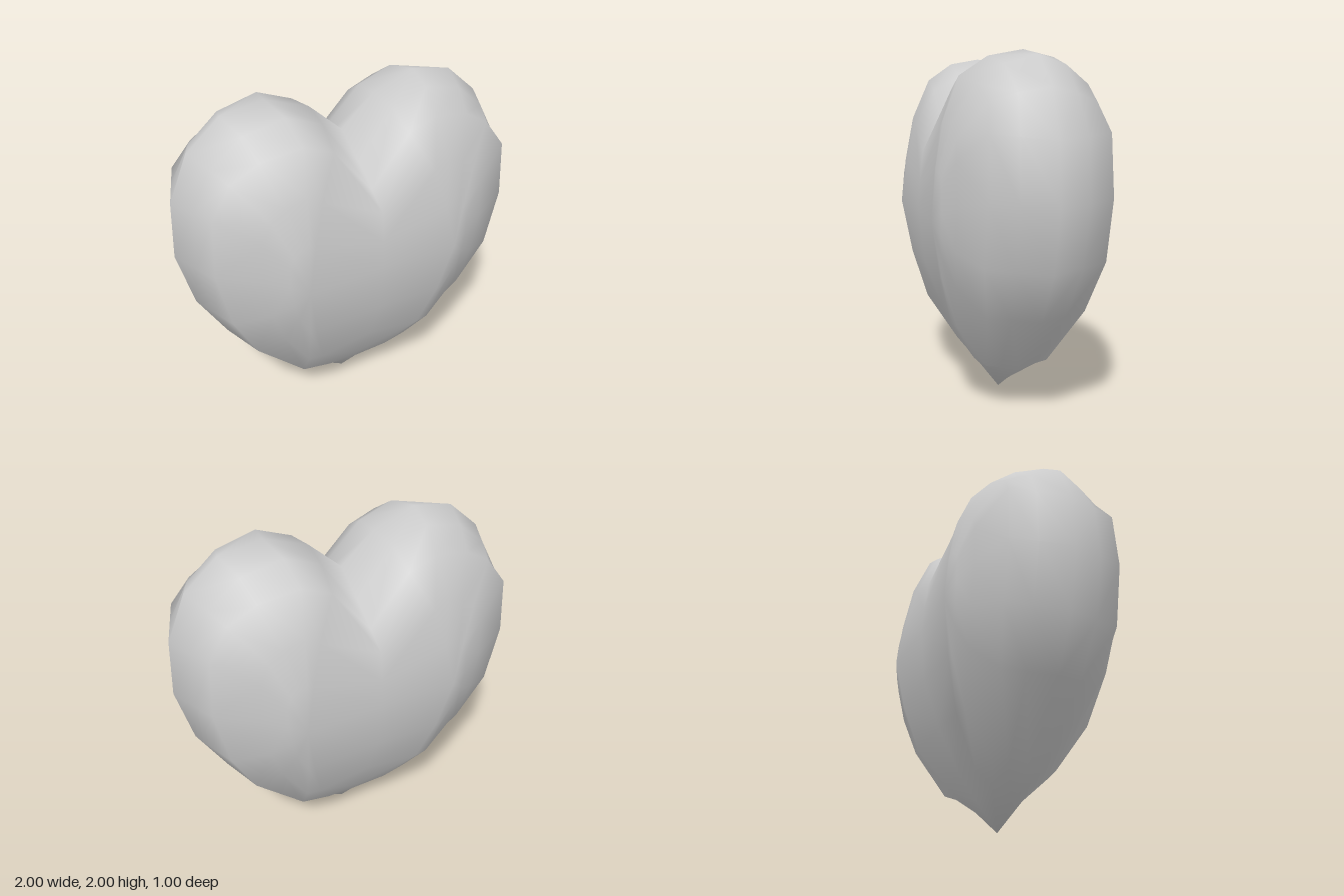
import * as THREE from 'three';
import { mergeVertices } from 'three/addons/utils/BufferGeometryUtils.js';

// Half heart from the bottom tip, around the lobe, to the cleft:
// rim [x, y], shoulder [x, y, z] and the upward bulge between them
const columns = [
  [[0.2, 0.125], [0.2, 0.27, 0.21], 0],
  [[0.4, 0.25], [0.36, 0.27, 0.18], 0],
  [[0.76, 0.62], [0.68, 0.64, 0.27], 0],
  [[0.92, 0.9], [0.82, 0.93, 0.32], 0],
  [[1, 1.23], [0.89, 1.26, 0.32], 0],
  [[0.98, 1.55], [0.87, 1.58, 0.31], 0],
  [[0.87, 1.8], [0.76, 1.73, 0.28], 0.01],
  [[0.68, 1.96], [0.6, 1.82, 0.3], 0.03],
  [[0.44, 2], [0.38, 1.865, 0.33], 0.04],
  [[0.19, 1.91], [0.22, 1.8, 0.33], 0.04],
];
// Middle seam at x = 0, from rim to front: [x, y, z]
const lowerSeam = [[0, 0, 0], [0, 0.16, 0.12], [0, 0.3, 0.225], [0, 0.55, 0.35], [0, 0.82, 0.45], [0, 1.12, 0.48]];
const upperSeam = [[0, 1.74, 0], [0, 1.63, 0.18], [0, 1.53, 0.33], [0, 1.45, 0.45], [0, 1.28, 0.47], [0, 1.12, 0.48]];
const pole = [0.45, 1.12, 0.5];

// Blend two points, with a separate amount for each axis
const blend = (a, b, amounts) => a.map((v, n) => v + (b[n] - v) * amounts[n]);

// One column of points from the rim over the shoulder to the lobe's pole
function lobeColumn([[x, y], shoulder, bulge]) {
  const rim = [x, y, 0];
  const middle = blend(rim, shoulder, [0.55, 0.55, 0.55]);
  middle[1] += bulge;
  return [
    rim, middle, shoulder,
    blend(shoulder, pole, [0.5, 0.3, 0.55]),
    blend(shoulder, pole, [0.78, 0.63, 0.82]),
    pole,
  ];
}

function heartGeometry() {
  const grid = [lowerSeam, ...columns.map(lobeColumn), upperSeam];
  const positions = [];
  // Four mirrored quarters, welded so the shading runs across the seams
  for (const sx of [1, -1]) for (const sz of [1, -1]) {
    const tri = (...pts) => {
      if (sx * sz < 0) pts.reverse();
      for (const [x, y, z] of pts) positions.push(x * sx, y, z * sz);
    };
    for (let i = 0; i < grid.length - 1; i++) {
      for (let k = 0; k < pole.length + 2; k++) {
        const a = grid[i][k], b = grid[i + 1][k];
        const c = grid[i + 1][k + 1], d = grid[i][k + 1];
        tri(a, b, c);
        // Skip the collapsed triangle at the pole
        if (c !== d) tri(a, c, d);
      }
    }
  }
  const geometry = new THREE.BufferGeometry();
  geometry.setAttribute('position', new THREE.Float32BufferAttribute(positions, 3));
  const welded = mergeVertices(geometry, 1e-4);
  welded.computeVertexNormals();
  return welded;
}

export function createModel() {
  const group = new THREE.Group();
  group.name = 'heart';
  const body = new THREE.Mesh(heartGeometry(), new THREE.MeshStandardMaterial({ color: 0xcccccc }));
  body.name = 'heartBody';
  group.add(body);
  return group;
}
